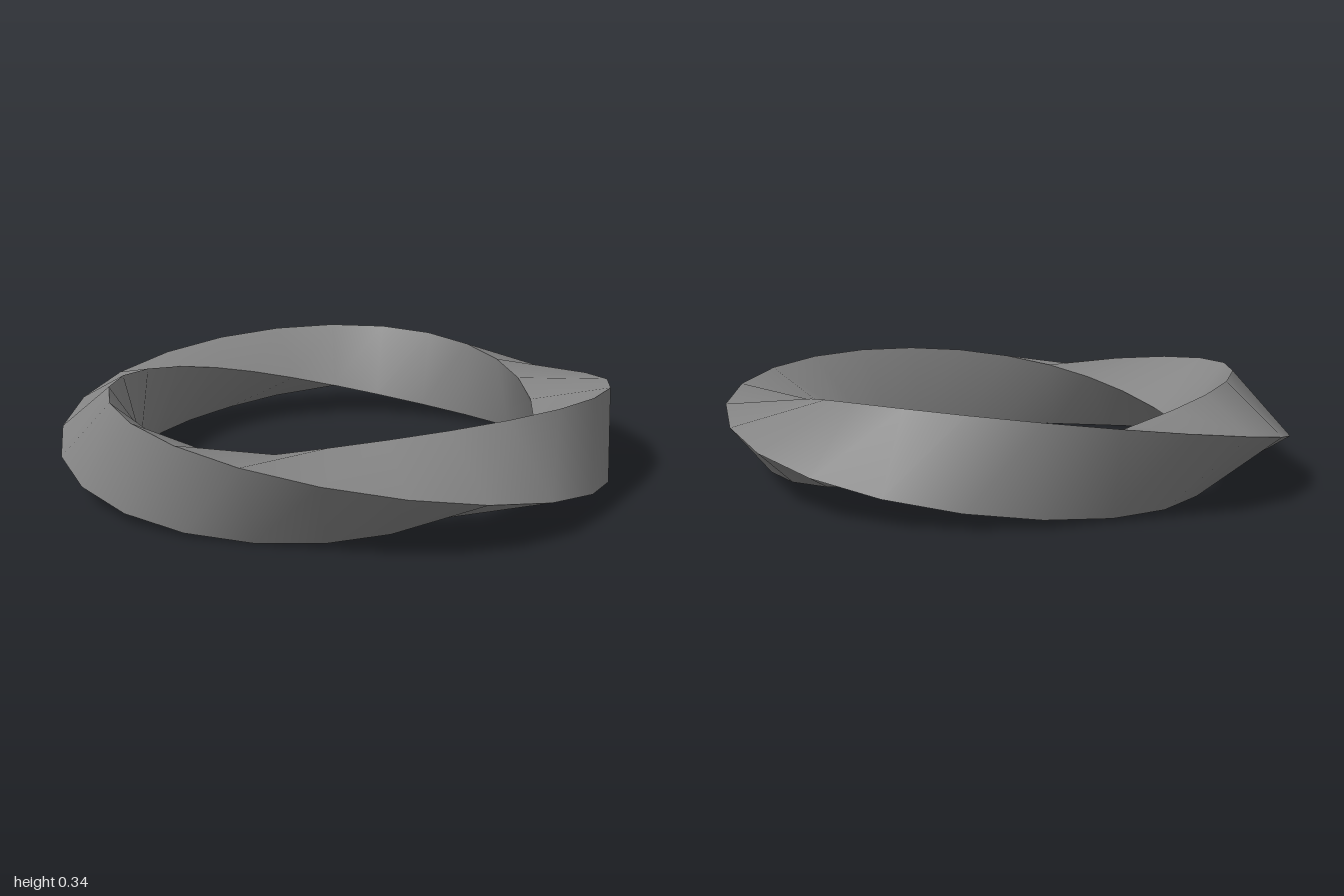
import * as THREE from 'three';

const RING = 0.8565;    // radius of the ring's centre line
const TUBE = 0.171;     // circumradius of the triangular section
const SEGMENTS = 25;
const SIDES = 3;

// One of the three ribbon faces; the section makes a full turn around the ring.
function ribbon(side) {
  const positions = [];
  const index = [];
  for (let i = 0; i < SEGMENTS; i++) {
    const theta = (i / SEGMENTS) * Math.PI * 2;
    for (let k = 0; k < 2; k++) {
      const a = theta + ((side + k) / SIDES) * Math.PI * 2;
      const r = RING + TUBE * Math.cos(a);
      positions.push(r * Math.cos(theta) - 0.04, TUBE * (1 + Math.sin(a)), r * Math.sin(theta));
    }
    const p = i * 2;
    const q = ((i + 1) % SEGMENTS) * 2;
    index.push(p, p + 1, q, p + 1, q + 1, q);
  }
  const geometry = new THREE.BufferGeometry();
  geometry.setAttribute('position', new THREE.Float32BufferAttribute(positions, 3));
  geometry.setIndex(index);
  geometry.computeVertexNormals(); // smooth along the ribbon, sharp between ribbons
  return geometry;
}

export function createModel() {
  const model = new THREE.Group();
  model.name = 'twistedTriangularRing';
  const material = new THREE.MeshStandardMaterial({ color: 0x848484 });
  for (let side = 0; side < SIDES; side++) {
    const mesh = new THREE.Mesh(ribbon(side), material);
    mesh.name = `ribbonFace${side + 1}`;
    model.add(mesh);
  }
  return model;
}
